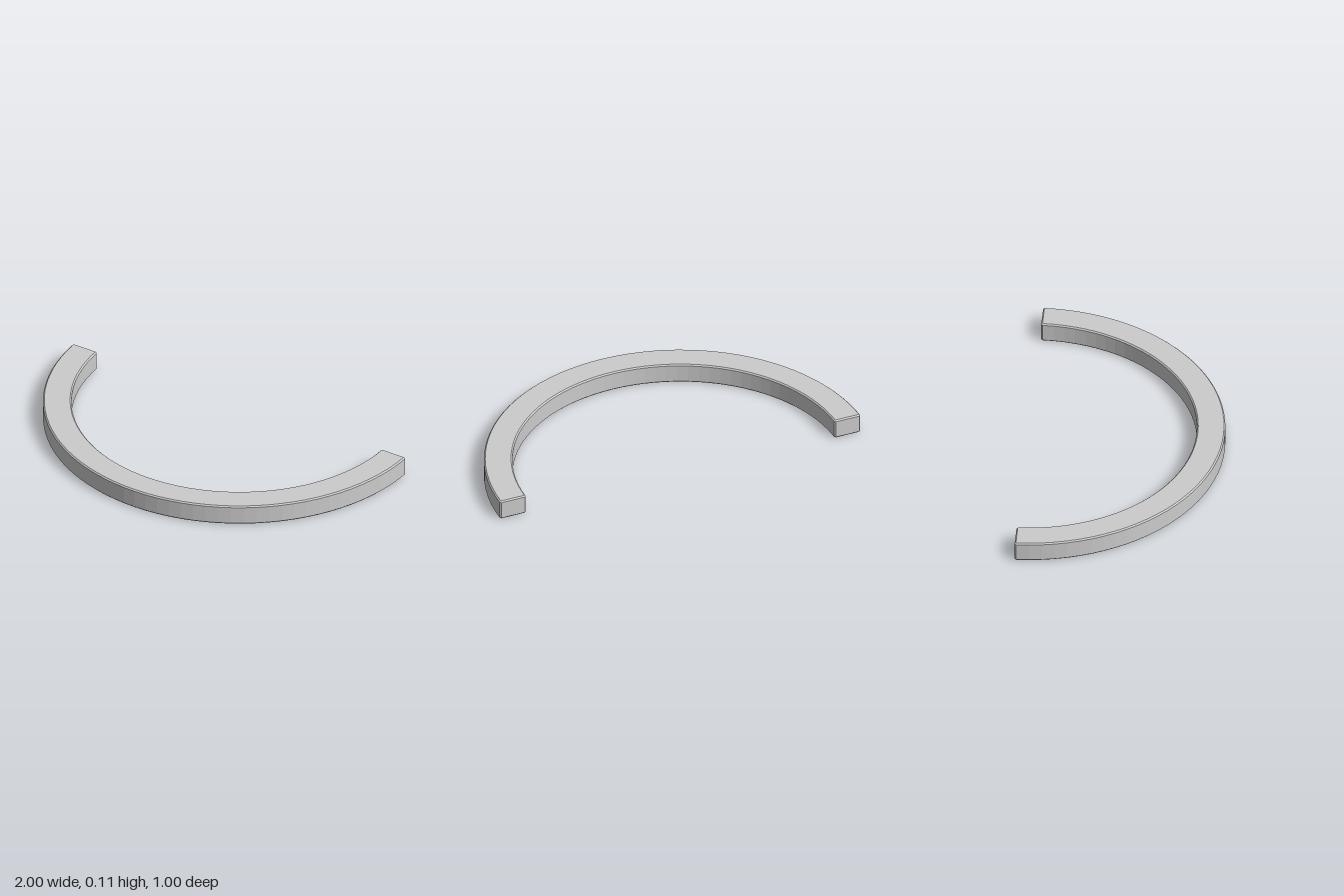
import * as THREE from 'three';

const OUTER = 1, INNER = 0.855, HEIGHT = 0.107, BEVEL = 0.007;
const SEGMENTS = 48, CENTRE_Z = -0.5;

// Plan outline of the half ring, inset by the bevel, with clipped end corners
function halfRingOutline() {
  const clip = BEVEL * 0.42;
  const ro = OUTER - BEVEL, ri = INNER + BEVEL;
  const endY = CENTRE_Z + BEVEL;
  const pts = [];
  const arc = (r, reverse) => {
    const start = Math.asin((BEVEL + clip) / r);
    for (let i = 0; i <= SEGMENTS; i++) {
      const t = reverse ? 1 - i / SEGMENTS : i / SEGMENTS;
      const a = start + t * (Math.PI - 2 * start);
      pts.push(new THREE.Vector2(r * Math.cos(a), CENTRE_Z + r * Math.sin(a)));
    }
  };
  pts.push(new THREE.Vector2(ro - clip, endY));
  arc(ro, false);
  pts.push(new THREE.Vector2(-ro + clip, endY), new THREE.Vector2(-ri - clip, endY));
  arc(ri, true);
  pts.push(new THREE.Vector2(ri + clip, endY));
  return new THREE.Shape(pts);
}

export function createModel() {
  const group = new THREE.Group();
  group.name = 'halfRing';

  // Bevelled bar swept through a half circle, laid flat on the ground
  const geometry = new THREE.ExtrudeGeometry(halfRingOutline(), {
    depth: HEIGHT - 2 * BEVEL,
    bevelEnabled: true,
    bevelThickness: BEVEL,
    bevelSize: BEVEL,
    bevelSegments: 1,
  });
  geometry.rotateX(Math.PI / 2);
  geometry.translate(0, HEIGHT - BEVEL, 0);

  const ring = new THREE.Mesh(geometry, new THREE.MeshStandardMaterial({ color: 0xcccccc }));
  ring.name = 'curvedBar';
  group.add(ring);
  return group;
}
